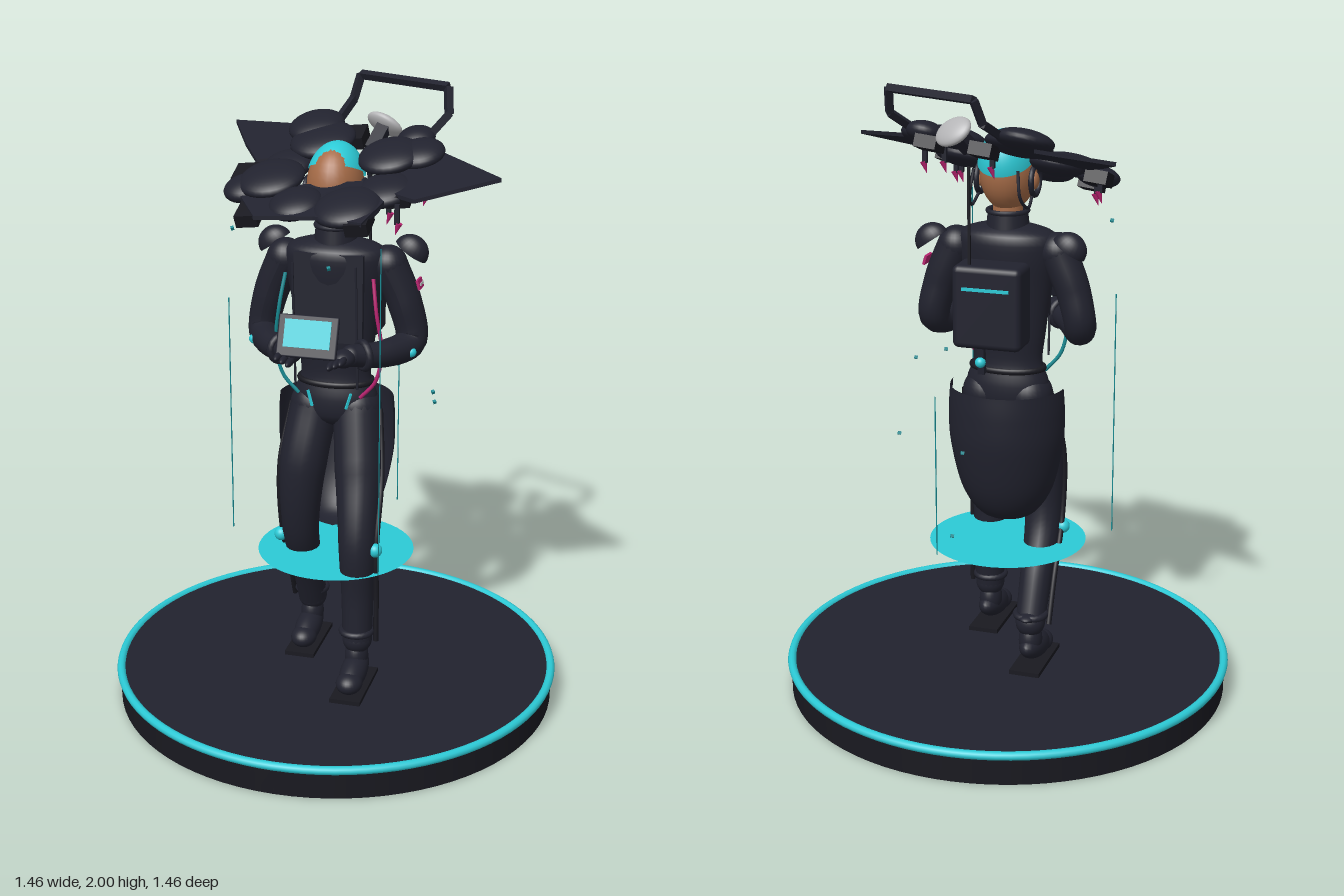
import * as THREE from 'three';
import { RoundedBoxGeometry } from 'three/addons/geometries/RoundedBoxGeometry.js';

const mat = (name, color) => Object.assign(new THREE.MeshStandardMaterial({ color, side: THREE.DoubleSide }), { name });
const V = (a) => new THREE.Vector3(...a);

export function createModel() {
  const root = new THREE.Group();
  root.name = 'figureOnStand';
  const dark = mat('charcoal', 0x21222e), black = mat('black', 0x191920), cyan = mat('cyan', 0x2ccad6);
  const teal = mat('teal', 0x168a92), pink = mat('pink', 0xb8226f), skin = mat('skin', 0xa56b47), grey = mat('grey', 0xb4b4b6);

  const add = (name, geo, m, p = [0, 0, 0], r = [0, 0, 0], s = [1, 1, 1], parent = root) => {
    const mesh = new THREE.Mesh(geo, m);
    mesh.name = name;
    mesh.position.set(...p); mesh.rotation.set(...r); mesh.scale.set(...s);
    parent.add(mesh);
    return mesh;
  };
  const ball = (name, m, p, s, r) => add(name, new THREE.SphereGeometry(1, 28, 18), m, p, r, s);
  const box = (name, m, size, p, r) => add(name, new THREE.BoxGeometry(...size), m, p, r);
  const cable = (name, m, pts, rad, seg = 24) =>
    add(name, new THREE.TubeGeometry(new THREE.CatmullRomCurve3(pts.map(V)), seg, rad, 8), m);
  const bar = (name, m, a, b, w, d = w) => {
    const A = V(a), B = V(b), mesh = box(name, m, [w, A.distanceTo(B), d], [0, 0, 0]);
    mesh.position.copy(A).add(B).multiplyScalar(0.5);
    mesh.quaternion.setFromUnitVectors(new THREE.Vector3(0, 1, 0), B.clone().sub(A).normalize());
    return mesh;
  };
  // tapered limb: a tube whose rings follow a list of radii, with rounded ends
  const limb = (name, m, pts, radii) => {
    const n = 32, curve = new THREE.CatmullRomCurve3(pts.map(V));
    const geo = new THREE.TubeGeometry(curve, n, 1, 18), pos = geo.attributes.position, v = new THREE.Vector3();
    for (let i = 0; i < pos.count; i++) {
      const t = Math.floor(i / 19) / n, c = curve.getPointAt(t), f = t * (radii.length - 1);
      const k = Math.min(Math.floor(f), radii.length - 2);
      v.fromBufferAttribute(pos, i).sub(c).multiplyScalar(THREE.MathUtils.lerp(radii[k], radii[k + 1], f - k)).add(c);
      pos.setXYZ(i, v.x, v.y, v.z);
    }
    geo.computeVertexNormals();
    add(name, geo, m);
    [0, radii.length - 1].forEach((k) => ball(name + 'End', m, pts[k], [radii[k], radii[k], radii[k]]));
  };
  const lathe = (pts, a = 0, len = Math.PI * 2) =>
    new THREE.LatheGeometry(new THREE.SplineCurve(pts.map((p) => new THREE.Vector2(...p))).getPoints(32), 40, a, len);

  // stand, glowing rim and floating ring plate
  add('stand', new THREE.CylinderGeometry(0.72, 0.72, 0.09, 80), black, [0, 0.045, 0]);
  add('standTop', new THREE.CylinderGeometry(0.715, 0.715, 0.01, 80), dark, [0, 0.095, 0]);
  add('standRim', new THREE.TorusGeometry(0.718, 0.014, 10, 96), cyan, [0, 0.096, 0], [Math.PI / 2, 0, 0]);
  add('floatingDisc', new THREE.CircleGeometry(0.255, 56), cyan, [0, 0.5, 0], [-Math.PI / 2, 0, 0]);
  [[-0.34, 0.04, 1.34], [0.21, 0.27, 1.6], [0.13, -0.32, 1.07]].forEach(([x, z, top]) =>
    bar('lightBeam', teal, [x, 0.55, z], [x, top, z], 0.003));
  [[-0.32, 1.57, 0.05], [0.19, 1.14, -0.05], [0.32, 1.08, 0.02], [0.26, 0.93, -0.29], [0.05, 0.89, -0.3],
    [0.05, 0.655, -0.4], [0.015, 1.49, 0.14]].forEach((p) => box('spark', teal, [0.01, 0.01, 0.01], p, [0.5, 0.5, 0]));

  // torso, waist and collar
  add('torso', lathe([[0.02, 0.93], [0.12, 0.97], [0.135, 1.04], [0.113, 1.11], [0.122, 1.2], [0.142, 1.35], [0.162, 1.46],
    [0.152, 1.525], [0.06, 1.555]]), dark, [0, 0, 0], [0, 0, 0], [1, 1, 0.6]);
  box('chestPanel', dark, [0.22, 0.28, 0.02], [0, 1.38, 0.085], [-0.03, 0, 0]);
  add('belt', new THREE.TorusGeometry(0.117, 0.01, 8, 40), black, [0, 1.09, 0], [Math.PI / 2, 0, 0], [1, 0.64, 1]);
  add('collar', new THREE.CylinderGeometry(0.062, 0.07, 0.07, 32, 1, true), dark, [0, 1.56, 0]);
  add('collarRim', new THREE.TorusGeometry(0.062, 0.008, 8, 32), dark, [0, 1.592, 0], [Math.PI / 2, 0, 0]);
  add('neck', new THREE.CylinderGeometry(0.045, 0.05, 0.12, 24), skin, [0, 1.58, 0]);

  // coat tail, open at the front
  add('coatTail', lathe([[0.01, 0.575], [0.09, 0.6], [0.15, 0.69], [0.185, 0.84], [0.19, 0.95], [0.185, 1.03]],
    Math.PI / 2, Math.PI), dark, [0, 0, 0.0], [0, 0, 0], [1, 1, 0.95]);

  // arms, shoulder shells, side cables
  [1, -1].forEach((s) => {
    limb('arm', dark, [[s * 0.165, 1.475, -0.01], [s * 0.215, 1.36, -0.015], [s * 0.24, 1.235, -0.01], [s * 0.18, 1.22, 0.1],
      [s * 0.1, 1.235, 0.19]], [0.06, 0.055, 0.05, 0.043, 0.034]);
    add('cuff', new THREE.TorusGeometry(0.04, 0.012, 8, 20), dark, [s * 0.13, 1.23, 0.16], [0, -s * 0.8, 0]);
    ball('hand', dark, [s * 0.085, 1.235, 0.22], [0.035, 0.028, 0.045]);
    for (let i = 0; i < 3; i++) ball('finger', dark, [s * (0.1 - i * 0.018), 1.25 - i * 0.008, 0.295], [0.011, 0.012, 0.034]);
    add('shoulderShell', new THREE.SphereGeometry(0.06, 24, 10, 0, Math.PI * 2, 0, Math.PI / 2), dark,
      [s * 0.22, 1.5, -0.08], [0, 0, -s * 0.6], [0.95, 0.9, 0.7]);
    ball('elbowLight', cyan, [s * 0.255, 1.215, 0.05], [0.016, 0.016, 0.016]);
    cable('sideCable', s > 0 ? pink : teal, [[s * 0.14, 1.45, 0.08], [s * 0.155, 1.35, 0.1], [s * 0.17, 1.22, 0.09],
      [s * 0.15, 1.12, 0.085], [s * 0.1, 1.06, 0.08]], 0.006);
    bar('chestCord', dark, [s * 0.1, 1.5, 0.14], [s * 0.1, 1.1, 0.115], 0.006);
    bar('beltMark', cyan, [s * 0.07, 1.07, 0.08], [s * 0.055, 1.02, 0.085], 0.007);
    // legs in mid-stride
    const f = s > 0;
    const path = f
      ? [[0.07, 1.0, 0], [0.093, 0.8, 0.07], [0.11, 0.6, 0.15], [0.113, 0.4, 0.152], [0.115, 0.26, 0.16]]
      : [[-0.07, 1.0, 0], [-0.097, 0.8, 0.05], [-0.11, 0.57, 0.035], [-0.112, 0.4, -0.05], [-0.112, 0.26, -0.11]];
    limb('leg', dark, path, [0.078, 0.077, 0.062, 0.053, 0.048]);
    cable('legStripe', black, path.map(([x, y, z], i) => [x + s * [0.076, 0.077, 0.064, 0.062, 0.062][i], y, z]), 0.009);
    const [, , az] = path[4], fz = f ? 0.2 : -0.07;
    ball('kneeLight', cyan, f ? [0.172, 0.58, 0.16] : [-0.175, 0.545, 0.04], [0.023, 0.023, 0.023]);
    add('ankleCuff', new THREE.TorusGeometry(0.048, 0.011, 8, 24), dark, [s * 0.113, 0.29, az], [Math.PI / 2, 0, 0]);
    ball('ankle', dark, [s * 0.113, 0.2, az], [0.038, 0.06, 0.045]);
    ball('shoe', dark, [s * 0.115, 0.163, fz], [0.043, 0.044, 0.105], [0.22, 0, 0]);
    ball('toe', dark, [s * 0.115, 0.15, fz + 0.06], [0.043, 0.035, 0.05]);
    box('sole', black, [0.1, 0.014, 0.24], [s * 0.115, 0.11, fz]);
  });
  ball('heelSpur', dark, [-0.113, 0.29, -0.13], [0.03, 0.014, 0.05]);
  box('armPatch', pink, [0.008, 0.03, 0.05], [0.265, 1.42, -0.01], [0, 0, 0.3]);
  box('armPatchLine', grey, [0.008, 0.007, 0.035], [0.269, 1.42, -0.01], [0, 0, 0.3]);

  // tablet held at the chest
  const tablet = new THREE.Group();
  tablet.name = 'tablet';
  tablet.position.set(-0.015, 1.31, 0.268); tablet.rotation.x = -0.38;
  root.add(tablet);
  add('tabletBody', new RoundedBoxGeometry(0.19, 0.13, 0.014, 2, 0.006), dark, [0, 0, 0], [0, 0, 0], [1, 1, 1], tablet);
  add('tabletScreen', new THREE.BoxGeometry(0.145, 0.085, 0.004), cyan, [0, 0.008, 0.008], [0, 0, 0], [1, 1, 1], tablet);

  // backpack with light strip and aerial
  add('backpack', new RoundedBoxGeometry(0.22, 0.26, 0.12, 3, 0.02), dark, [0, 1.33, -0.165]);
  box('packStrip', cyan, [0.15, 0.01, 0.006], [0, 1.39, -0.226]);
  bar('aerial', black, [0.06, 1.45, -0.195], [0.06, 1.76, -0.195], 0.008);
  bar('packHose', dark, [0.05, 1.21, -0.12], [0.05, 1.09, -0.11], 0.022);
  ball('hoseLight', cyan, [0.05, 1.13, -0.125], [0.017, 0.017, 0.017]);

  // head, cap and headset
  ball('head', skin, [0, 1.715, 0.005], [0.088, 0.125, 0.102]);
  add('cap', new THREE.SphereGeometry(1, 32, 16, 0, Math.PI * 2, 0, 1.3), cyan, [0, 1.724, 0], [-0.42, 0, 0], [0.092, 0.128, 0.106]);
  ball('nose', skin, [0, 1.7, 0.108], [0.012, 0.018, 0.016]);
  [1, -1].forEach((s) => {
    add('earRing', new THREE.TorusGeometry(0.045, 0.009, 8, 28), dark, [s * 0.088, 1.69, 0], [0, Math.PI / 2, 0]);
    ball('ear', skin, [s * 0.086, 1.69, 0], [0.014, 0.028, 0.02]);
    cable('headsetWire', dark, [[s * 0.085, 1.65, -0.02], [s * 0.09, 1.62, -0.08], [s * 0.08, 1.66, -0.13], [s * 0.07, 1.74, -0.12]], 0.005);
  });

  // tilted flower headdress: parts are placed by plan position and height over the tilted plane
  const tilt = new THREE.Quaternion().setFromUnitVectors(new THREE.Vector3(0, 1, 0), V([-0.12, 1, 0.33]).normalize());
  const py = (x, z) => 1.755 - 0.33 * z + 0.12 * x;
  [[-0.12, -0.21, 0.09, 0.04], [-0.08, -0.14, 0.105, 0.03], [-0.19, 0.05, 0.105, 0.02], [-0.27, 0.06, 0.07, 0],
    [0.165, -0.02, 0.1, 0.03], [0.25, -0.04, 0.08, 0.02], [-0.08, 0.165, 0.085, 0.0], [0.09, 0.2, 0.105, 0.0],
    [0.03, 0.15, 0.075, -0.02], [-0.17, -0.06, 0.08, 0], [0.18, 0.1, 0.09, -0.01], [0.22, -0.13, 0.06, 0.02]]
    .forEach(([x, z, r, h]) => ball('petal', dark, [x, py(x, z) + h, z], [r, 0.034, r]).quaternion.copy(tilt));
  // pointed side leaves and corner plates
  const plate = (name, pts) => {
    const shape = new THREE.Shape(pts.map(([x, z]) => new THREE.Vector2(x, -z)));
    const geo = new THREE.ExtrudeGeometry(shape, { depth: 0.012, bevelEnabled: false });
    geo.rotateX(-Math.PI / 2);
    const p = geo.attributes.position;
    for (let i = 0; i < p.count; i++) p.setY(i, p.getY(i) + py(p.getX(i), p.getZ(i)));
    geo.computeVertexNormals();
    add(name, geo, dark);
  };
  plate('leafLeft', [[0.53, 0.11], [0.29, 0.2], [0.15, 0.12], [0.2, -0.09], [0.29, -0.08]]);
  plate('leafRight', [[-0.43, -0.34], [-0.17, -0.28], [-0.12, -0.1], [-0.28, -0.08], [-0.35, -0.19]]);
  plate('lowerPlate', [[-0.27, 0.12], [-0.1, 0.08], [0.1, 0.08], [0.2, 0.2], [0.16, 0.31], [0, 0.26], [-0.19, 0.24]]);
  [[-0.22, 0.18], [0.14, 0.26], [-0.3, -0.04], [0.23, 0.12], [0.0, -0.23], [0.2, -0.15]].forEach(([x, z]) => {
    box('module', black, [0.07, 0.04, 0.09], [x, py(x, z) - 0.015, z]).quaternion.copy(tilt);
  });
  // hanging tassels
  [[-0.31, -0.06], [-0.27, 0.05], [0.24, 0.2], [0.2, 0.14], [0.29, 0.05], [-0.02, -0.21], [0.17, -0.1]].forEach(([x, z]) => {
    bar('tasselCord', dark, [x, py(x, z), z], [x, py(x, z) - 0.06, z], 0.014);
    add('tassel', new THREE.ConeGeometry(0.011, 0.04, 10), pink, [x, py(x, z) - 0.075, z], [Math.PI, 0, 0.3]);
  });

  // lamp and handle frame at the back
  const lamp = ball('lamp', grey, [0.1, 1.865, -0.215], [0.062, 0.022, 0.05]);
  lamp.quaternion.setFromUnitVectors(new THREE.Vector3(0, 1, 0), V([0.35, 0.65, -0.67]).normalize());
  bar('lampArm', dark, [0.08, 1.8, -0.12], [0.1, 1.86, -0.2], 0.04);
  const A = [-0.02, 1.988, -0.378], B = [0.295, 1.988, -0.235];
  bar('handleBar', dark, A, B, 0.022);
  [[A, [-0.035, 1.915, -0.345], [-0.07, 1.84, -0.2]], [B, [0.305, 1.91, -0.205], [0.24, 1.83, -0.1]]].forEach(([a, b, c]) => {
    bar('handlePost', dark, a, b, 0.022);
    bar('handleStrut', dark, b, c, 0.022);
  });
  return root;
}
